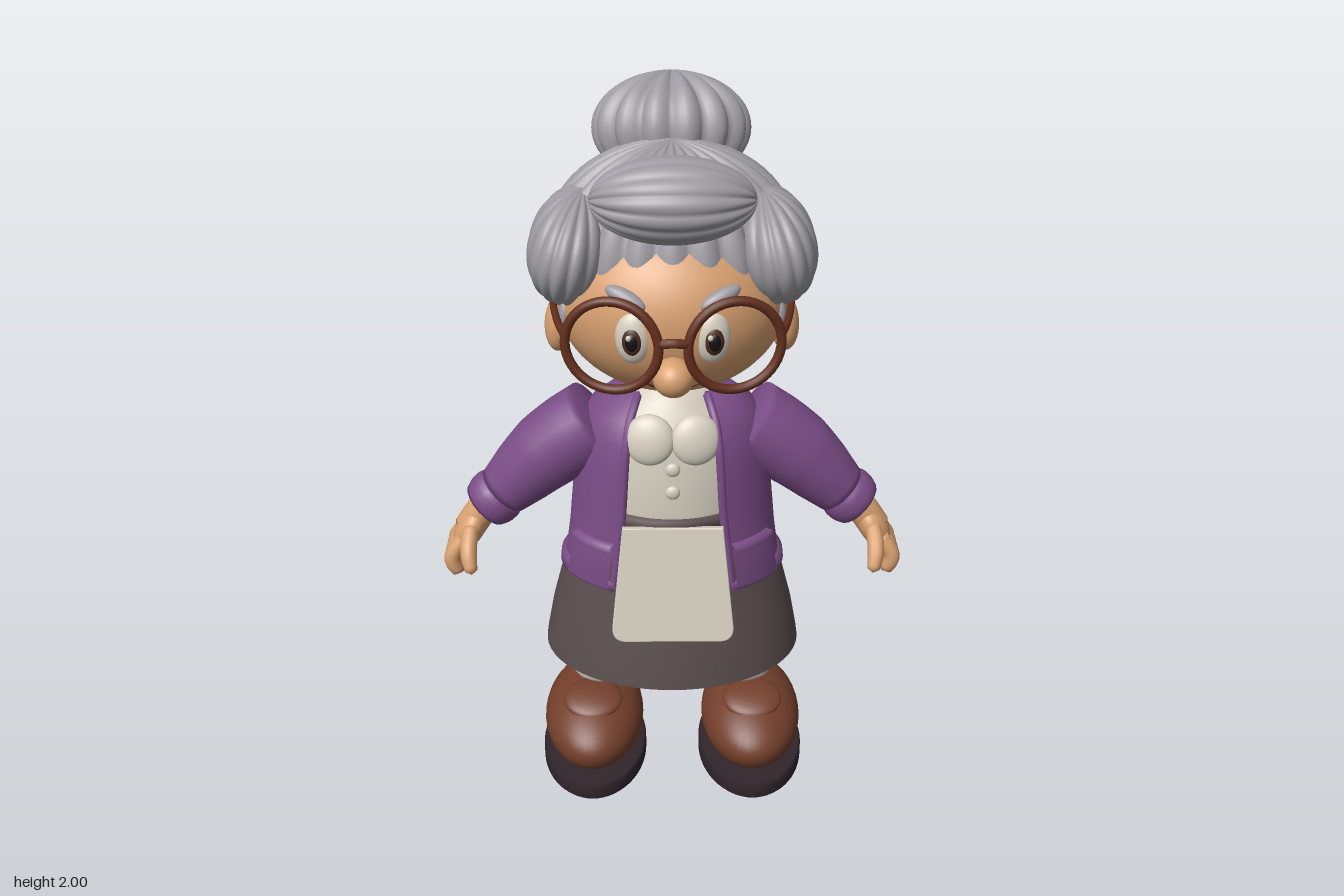
import * as THREE from 'three';
import { mergeVertices } from 'three/addons/utils/BufferGeometryUtils.js';

const paint = (name, color, side = THREE.FrontSide) => {
  const m = new THREE.MeshStandardMaterial({ color, side });
  m.name = name;
  return m;
};

// Weld the seams and shade smoothly
function smooth(geo) {
  geo.deleteAttribute('uv');
  geo.deleteAttribute('normal');
  const g = mergeVertices(geo, 1e-5);
  g.computeVertexNormals();
  return g;
}

// Apply fn(vector) to every vertex
function bend(geo, fn) {
  const p = geo.attributes.position, v = new THREE.Vector3();
  for (let i = 0; i < p.count; i++) {
    fn(v.fromBufferAttribute(p, i), i);
    p.setXYZ(i, v.x, v.y, v.z);
  }
  return geo;
}

// Elliptical rings [y, rx, rz, frontGap] joined into a skin; range gives the angles of an open strip
function loft(rows, cz, range) {
  const n = 64, pos = [], idx = [], w = range ? n + 1 : n;
  rows.forEach((r, i) => {
    const [a0, a1] = range ? range(r) : [0, Math.PI * 2];
    for (let j = 0; j < w; j++) {
      const a = a0 + (a1 - a0) * j / n;
      pos.push(r[1] * Math.sin(a), r[0], r[2] * Math.cos(a) + cz);
      if (i && j < n) {
        const k = (j + 1) % w, b = (i - 1) * w, t = i * w;
        idx.push(b + j, b + k, t + k, b + j, t + k, t + j);
      }
    }
  });
  const g = new THREE.BufferGeometry();
  g.setAttribute('position', new THREE.Float32BufferAttribute(pos, 3));
  g.setIndex(idx);
  g.computeVertexNormals();
  return g;
}

// Tube along points with changing radius and closed ends
function limb(points, radii, seg = 20, sides = 20) {
  const curve = new THREE.CatmullRomCurve3(points.map(p => new THREE.Vector3(...p)));
  const g = bend(new THREE.TubeGeometry(curve, seg, 1, sides), (v, i) => {
    const row = Math.floor(i / (sides + 1)), t = row / seg, f = t * (radii.length - 1);
    const k = Math.min(Math.floor(f), radii.length - 2);
    const r = row === 0 || row === seg ? 0 : THREE.MathUtils.lerp(radii[k], radii[k + 1], f - k);
    const c = curve.getPointAt(t);
    v.sub(c).multiplyScalar(r).add(c);
  });
  return smooth(g);
}

// Ellipsoid with rounded lobes running from pole to pole
function puff([rx, ry, rz], lobes, depth) {
  return smooth(bend(new THREE.SphereGeometry(1, lobes * 8, 32), v => {
    const a = Math.atan2(v.z, v.x), s = Math.hypot(v.x, v.z);
    const k = 1 - depth * Math.min(1, s * 1.5) * (1 - Math.abs(Math.cos(a * lobes / 2)));
    v.set(v.x * rx * k, v.y * ry * k, v.z * rz * k);
  }));
}

export function createModel() {
  const model = new THREE.Group();
  model.name = 'grandmother';
  const hair = paint('grey hair', 0x9d9ba1);
  const skin = paint('skin', 0xd8a070);
  const purple = paint('purple wool', 0x7b4d87, THREE.DoubleSide);
  const cloth = paint('brown skirt cloth', 0x594d4c, THREE.DoubleSide);
  const cream = paint('cream cotton', 0xd6cfc0);
  const leather = paint('brown leather', 0x743f2b);
  const rubber = paint('dark sole', 0x30252a);
  const frame = paint('glasses brown', 0x632f1d);
  const iris = paint('iris brown', 0x4a2c20);
  const black = paint('pupil black', 0x17110f);

  const add = (name, geo, mat, pos = [0, 0, 0], rot = [0, 0, 0]) => {
    const m = new THREE.Mesh(geo, mat);
    m.name = name;
    m.position.set(...pos);
    m.rotation.set(...rot);
    model.add(m);
    return m;
  };
  const ball = (name, mat, pos, size, rot) =>
    add(name, new THREE.SphereGeometry(1, 32, 24).scale(...size), mat, pos, rot);

  // Skirt, blouse, belt
  add('skirt', loft([[0.385, 0.372, 0.278], [0.42, 0.367, 0.272], [0.52, 0.348, 0.252],
    [0.64, 0.317, 0.225], [0.87, 0.24, 0.188]], 0.018), cloth);
  add('blouse', loft([[0.78, 0.001, 0.001], [0.8, 0.23, 0.182], [0.9, 0.235, 0.187], [1.08, 0.23, 0.178],
    [1.16, 0.195, 0.145], [1.2, 0.12, 0.105], [1.245, 0.095, 0.09], [1.245, 0.001, 0.001]], 0.015), cream);
  add('belt', loft([[0.855, 0.24, 0.18], [0.86, 0.252, 0.196], [0.888, 0.252, 0.196], [0.893, 0.24, 0.18]], 0.018), cloth);

  // Apron: rounded panel leaning out over the skirt
  const bib = new THREE.Shape();
  bib.moveTo(-0.135, 0);
  bib.lineTo(-0.165, -0.29);
  bib.quadraticCurveTo(-0.167, -0.33, -0.13, -0.33);
  bib.lineTo(0.13, -0.33);
  bib.quadraticCurveTo(0.167, -0.33, 0.165, -0.29);
  bib.lineTo(0.135, 0);
  add('apron', new THREE.ExtrudeGeometry(bib, { depth: 0.016, bevelSize: 0.003, bevelThickness: 0.003, bevelSegments: 2 }),
    cream, [0, 0.868, 0.202], [-0.2, 0, 0]);
  for (const y of [1.045, 0.975]) ball('button', cream, [0, y, 0.2], [0.02, 0.02, 0.012]);

  // Cardigan with open front
  const knit = [[0.655, 0.31, 0.218, 0.165], [0.78, 0.292, 0.21, 0.152], [0.9, 0.28, 0.204, 0.138], [1.02, 0.27, 0.2, 0.13],
    [1.1, 0.255, 0.192, 0.124], [1.16, 0.225, 0.165, 0.115], [1.2, 0.175, 0.125, 0.1], [1.216, 0.11, 0.1, 0.09]];
  const opening = r => { const a = Math.asin(r[3] / r[1]); return [a, Math.PI * 2 - a]; };
  add('cardigan', loft(knit, 0.01, opening), purple);
  add('cardiganHem', loft([[0.655, 0.305, 0.215, 0.165], [0.66, 0.322, 0.23, 0.165], [0.685, 0.319, 0.228, 0.163],
    [0.692, 0.303, 0.214, 0.162]], 0.01, opening), purple);

  // Head, nose, mouth
  add('head', smooth(bend(new THREE.SphereGeometry(1, 48, 32), v => {
    v.set(v.x * 0.31, v.y * 0.257 + 1.472, v.z * (v.z > 0 ? 0.28 : 0.2));
  })), skin);
  add('neck', new THREE.CylinderGeometry(0.085, 0.085, 0.12, 24), skin, [0, 1.24, -0.01]);
  ball('nose', skin, [0, 1.375, 0.315], [0.052, 0.05, 0.055]);
  const smile = [-2, -1, 0, 1, 2].map(i => {
    const x = i * 0.042, y = 1.287 + i * i * 0.007;
    return [x, y, 0.28 * Math.sqrt(1 - (x / 0.31) ** 2 - ((y - 1.472) / 0.257) ** 2)];
  });
  add('mouth', limb(smile, [0.004, 0.007, 0.004], 20, 8), frame);

  // Hair: ribbed cap, front roll, bun
  add('hairCap', puff([0.352, 0.312, 0.275], 24, 0.06), hair, [0, 1.56, -0.05]);
  add('frontRoll', puff([0.108, 0.208, 0.125], 14, 0.05), hair, [0, 1.78, 0.155], [0, 0, Math.PI / 2]);
  add('bun', puff([0.212, 0.148, 0.165], 14, 0.12), hair, [0, 1.855, -0.212], [-0.3, 0, 0]);

  // Glasses bridge
  add('glassesBridge', limb([[-0.04, 1.48, 0.348], [0, 1.487, 0.358], [0.04, 1.48, 0.348]], [0.012, 0.012], 10, 10), frame);

  for (const s of [1, -1]) {
    // Cardigan trim, pocket, collar
    add('cardiganTrim', limb(knit.map(r => [s * r[3], r[0], 0.01 + r[2] * Math.sqrt(1 - (r[3] / r[1]) ** 2)]),
      [0.012, 0.012], 30, 10), purple);
    add('pocket', loft([[0.67, 0.315, 0.22], [0.673, 0.33, 0.238], [0.775, 0.31, 0.226], [0.78, 0.314, 0.23],
      [0.8, 0.311, 0.227], [0.803, 0.292, 0.21]], 0.01, () => s > 0 ? [0.58, 1.12] : [-1.12, -0.58]), purple);
    ball('collar', cream, [s * 0.062, 1.122, 0.172], [0.068, 0.07, 0.032], [-0.25, s * 0.15, 0]);

    // Sleeve and cuff
    add('sleeve', limb([[s * 0.195, 1.115, 0.01], [s * 0.335, 1.015, 0.01], [s * 0.49, 0.865, 0.012]],
      [0.115, 0.115, 0.11, 0.095, 0.075]), purple);
    add('cuff', limb([[s * 0.468, 0.888, 0.012], [s * 0.535, 0.825, 0.012]], [0.07, 0.082, 0.082, 0.07], 10), purple);

    // Hand
    add('wrist', limb([[s * 0.5, 0.86, 0.012], [s * 0.545, 0.81, 0.012], [s * 0.585, 0.75, 0.012]], [0.042, 0.045, 0.045]), skin);
    ball('palm', skin, [s * 0.577, 0.76, 0.012], [0.042, 0.075, 0.067], [0, 0, s * 0.5]);
    [-0.045, -0.008, 0.03, 0.066].forEach((z, i) => {
      const tip = i % 3 ? 0.61 : 0.632;
      add('finger', limb([[s * 0.59, 0.75, z * 0.8], [s * 0.63, 0.685, z], [s * 0.612, tip, z]],
        [0.022, 0.023, 0.023, 0.022, 0.016], 14, 12), skin);
    });
    add('thumb', limb([[s * 0.57, 0.785, 0.05], [s * 0.575, 0.735, 0.11], [s * 0.565, 0.68, 0.148]],
      [0.022, 0.024, 0.023, 0.016], 14, 12), skin);

    // Leg, sock, shoe
    add('leg', new THREE.CylinderGeometry(0.076, 0.076, 0.5, 28), skin, [s * 0.205, 0.5, 0.018]);
    add('sock', new THREE.CylinderGeometry(0.085, 0.085, 0.14, 28), cream, [s * 0.205, 0.225, 0.018]);
    add('sockCuff', new THREE.TorusGeometry(0.07, 0.031, 14, 32), cream, [s * 0.205, 0.293, 0.018], [Math.PI / 2, 0, 0]);
    add('shoe', smooth(bend(new THREE.SphereGeometry(1, 40, 28), v => {
      v.set(v.x * 0.147, v.y * 0.12 * (v.y > 0 ? 1 - 0.15 * v.z : 1), v.z * 0.226);
    })), leather, [s * 0.235, 0.145, 0.085]);
    ball('shoeTongue', leather, [s * 0.235, 0.243, 0.15], [0.087, 0.024, 0.075], [0.25, 0, 0]);
    add('sole', loft([[0, 0.001, 0.001], [0, 0.148, 0.228], [0.008, 0.155, 0.235], [0.045, 0.155, 0.235],
      [0.055, 0.148, 0.228], [0.055, 0.001, 0.001]], 0.085), rubber, [s * 0.235, 0, 0]);

    // Ear, eye, brow
    ball('ear', skin, [s * 0.305, 1.365, -0.053], [0.04, 0.082, 0.053], [0, 0, s * 0.08]);
    ball('eyeWhite', cream, [s * 0.1, 1.455, 0.25], [0.046, 0.07, 0.03], [0, s * 0.2, 0]);
    ball('iris', iris, [s * 0.102, 1.453, 0.268], [0.027, 0.04, 0.017], [0, s * 0.15, 0]);
    ball('pupil', black, [s * 0.102, 1.453, 0.276], [0.018, 0.026, 0.012]);
    ball('eyeGlint', cream, [s * 0.102 - 0.009, 1.467, 0.284], [0.007, 0.008, 0.005]);
    ball('eyebrow', hair, [s * 0.118, 1.558, 0.243], [0.057, 0.022, 0.022], [0, s * 0.4, s * 0.38]);

    // Hair at the sides
    add('templePuff', puff([0.115, 0.15, 0.205], 16, 0.05), hair, [s * 0.255, 1.62, 0.03], [0, s * 0.12, s * 0.2]);
    add('sidePuff', puff([0.07, 0.118, 0.115], 14, 0.04), hair, [s * 0.302, 1.51, -0.17], [0, s * 0.45, 0]);
    ball('sideburn', hair, [s * 0.272, 1.455, 0.1], [0.022, 0.048, 0.032], [0, s * 0.3, 0]);

    // Glasses rim and temple arm
    add('glassesRim', new THREE.TorusGeometry(0.118, 0.0125, 12, 48), frame, [s * 0.152, 1.466, 0.325], [0, s * 0.2, 0]);
    add('glassesArm', limb([[s * 0.265, 1.478, 0.3], [s * 0.29, 1.475, 0.2], [s * 0.312, 1.468, 0.05], [s * 0.312, 1.455, -0.05]],
      [0.01, 0.009], 16, 10), frame);
  }
  return model;
}
